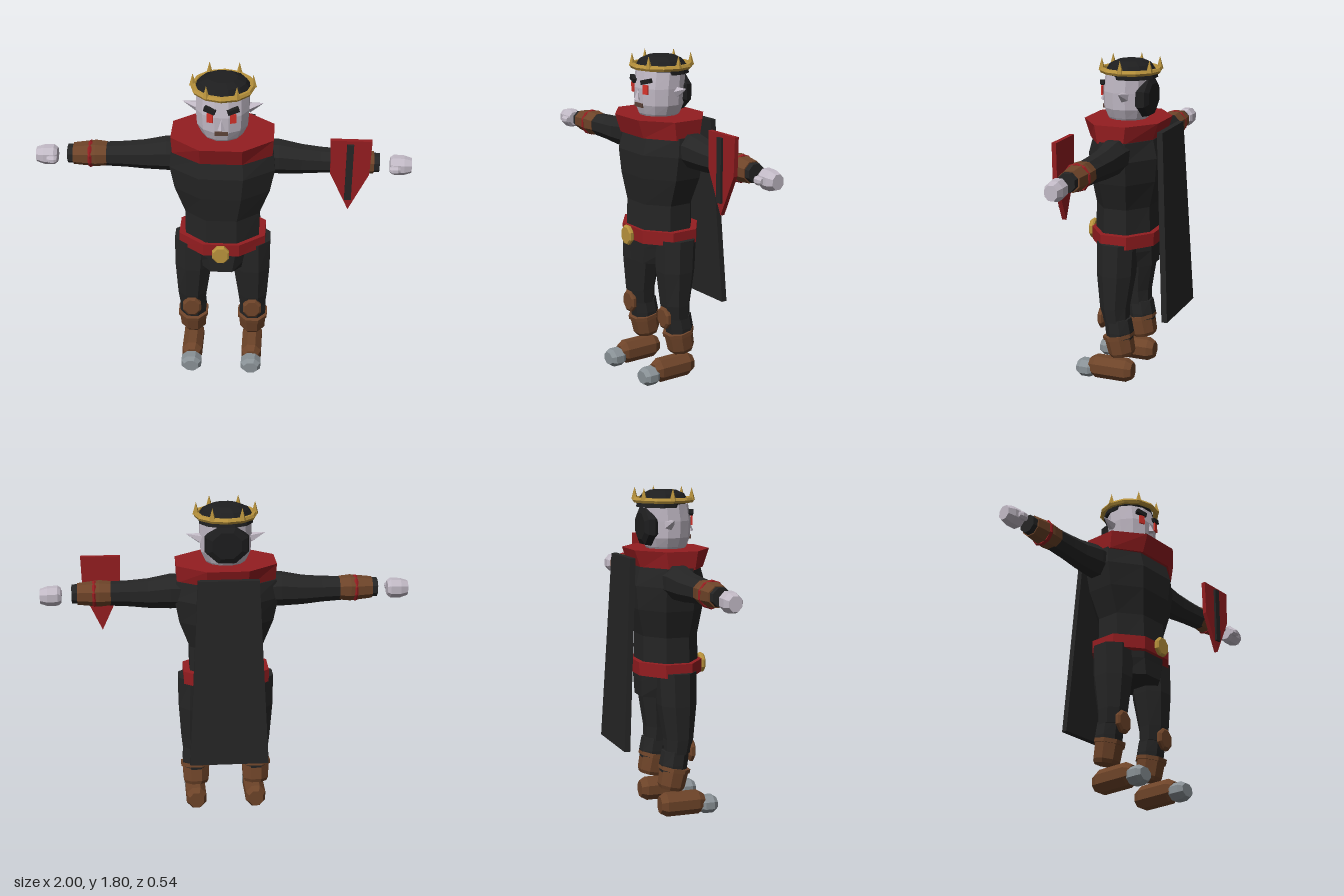
import * as THREE from 'three';

const mat = (name, color) => Object.assign(new THREE.MeshStandardMaterial({ color }), { name });

// Closed faceted body through elliptical rings [y, cx, cz, rx, rz]; radii reach the flat sides.
function loft(rings, n = 8) {
  const pos = [], k = 1 / Math.cos(Math.PI / n);
  const at = ([y, cx, cz, rx, rz], i) => {
    const a = ((i + 0.5) / n) * Math.PI * 2;
    return [cx + Math.sin(a) * rx * k, y, cz + Math.cos(a) * rz * k];
  };
  const lo = rings[0], hi = rings[rings.length - 1];
  for (let i = 0; i < n; i++) {
    for (let j = 0; j < rings.length - 1; j++) {
      const a = at(rings[j], i), b = at(rings[j], i + 1), c = at(rings[j + 1], i + 1), d = at(rings[j + 1], i);
      pos.push(...a, ...b, ...c, ...a, ...c, ...d);
    }
    pos.push(lo[1], lo[0], lo[2], ...at(lo, i + 1), ...at(lo, i));
    pos.push(hi[1], hi[0], hi[2], ...at(hi, i), ...at(hi, i + 1));
  }
  const g = new THREE.BufferGeometry();
  g.setAttribute('position', new THREE.Float32BufferAttribute(pos, 3));
  g.computeVertexNormals();
  return g;
}

// Faceted copy of a built-in geometry
function facet(g) {
  const f = g.index ? g.toNonIndexed() : g;
  f.computeVertexNormals();
  return f;
}

export function createModel() {
  const root = new THREE.Group();
  root.name = 'caped ruler';
  const cloth = mat('black cloth', 0x252525), red = mat('dark red', 0x941d20);
  const skin = mat('pale skin', 0xc2bac6), hair = mat('black hair', 0x1e1e1f);
  const leather = mat('brown leather', 0x6e4429), gold = mat('gold', 0xb8923c);
  const steel = mat('steel', 0x899196), eyeRed = mat('eye red', 0xd8332b), lip = mat('lip brown', 0x5c4238);

  const add = (name, geo, material, p = [0, 0, 0], r = [0, 0, 0], parent = root) => {
    const m = new THREE.Mesh(geo, material);
    m.name = name;
    m.position.set(...p);
    m.rotation.set(...r);
    parent.add(m);
    return m;
  };
  const box = (x, y, z) => new THREE.BoxGeometry(x, y, z);

  // Torso, pelvis, collar and belt
  add('torso', loft([
    [0.80, 0, 0.04, 0.2, 0.16], [1.0, 0, 0.038, 0.2, 0.155], [1.15, 0, 0.03, 0.255, 0.185],
    [1.28, 0, 0.027, 0.28, 0.197], [1.38, 0, 0.025, 0.27, 0.172]]), cloth);
  add('pelvis', loft([[0.66, 0, 0.033, 0.14, 0.155], [0.75, 0, 0.033, 0.175, 0.158], [0.82, 0, 0.035, 0.19, 0.16]]), cloth);
  add('collar', loft([[1.37, 0, 0.037, 0.265, 0.178], [1.47, 0, 0.037, 0.27, 0.212]]), red);
  add('belt', loft([[0.787, 0, 0.034, 0.235, 0.18], [0.86, 0, 0.034, 0.235, 0.182]]), red);
  add('buckle', loft([
    [-0.015, 0, 0, 0.038, 0.045], [-0.007, 0, 0, 0.046, 0.052],
    [0.007, 0, 0, 0.046, 0.052], [0.015, 0, 0, 0.038, 0.045]]), gold, [0, 0.82, 0.248], [Math.PI / 2, 0, 0]);

  // Cape: tapered slab leaning backwards
  const cape = box(1, 1.035, 0.032), cp = cape.attributes.position;
  for (let i = 0; i < cp.count; i++) {
    const top = cp.getY(i) > 0;
    cp.setX(i, Math.sign(cp.getX(i)) * (top ? 0.162 : 0.215));
    cp.setZ(i, cp.getZ(i) + (top ? -0.203 : -0.255));
  }
  add('cape', facet(cape), cloth, [0, 0.915, 0]);

  // Head and hair
  add('head', loft([
    [1.44, 0, 0.04, 0.085, 0.085], [1.48, 0, 0.04, 0.11, 0.11], [1.53, 0, 0.04, 0.133, 0.127],
    [1.62, 0, 0.04, 0.139, 0.131], [1.71, 0, 0.03, 0.136, 0.125]], 12), skin);
  add('hair cap', loft([
    [1.692, 0, 0.01, 0.142, 0.128], [1.73, 0, 0.022, 0.143, 0.13],
    [1.762, 0, 0.024, 0.12, 0.11], [1.782, 0, 0.024, 0.075, 0.07]], 12), hair);
  add('back hair', loft([
    [0.03, 0, 0, 0.1, 0.08], [0.06, 0, 0, 0.118, 0.105],
    [0.095, 0, 0, 0.11, 0.098], [0.11, 0, 0, 0.078, 0.07]]), hair, [0, 1.59, 0], [-Math.PI / 2, 0, 0]);

  // Face
  add('nose', facet(new THREE.ConeGeometry(0.019, 0.06, 4)), skin, [0, 1.585, 0.178], [-0.15, 0, 0]);
  add('mouth', box(0.07, 0.022, 0.009), lip, [0, 1.528, 0.169]);
  for (const s of [-1, 1]) {
    add('eye', box(0.032, 0.05, 0.009), eyeRed, [s * 0.06, 1.617, 0.167], [0, s * 0.3, 0]);
    add('brow', box(0.062, 0.024, 0.025), hair, [s * 0.06, 1.66, 0.162], [0, s * 0.3, s * 0.25]);
    add('ear', facet(new THREE.ConeGeometry(0.03, 0.085, 5)), skin, [s * 0.172, 1.615, 0.012], [0, 0, -s * 1.25]);
  }

  // Crown with six spikes
  const crown = new THREE.Group();
  crown.name = 'crown';
  crown.position.set(0, 1.73, 0.024);
  root.add(crown);
  add('crown band', facet(new THREE.TorusGeometry(0.155, 0.016, 6, 12)), gold, [0, 0, 0], [Math.PI / 2, 0, 0], crown);
  for (let i = 0; i < 6; i++) {
    const a = (i * Math.PI) / 3;
    add('crown spike', facet(new THREE.ConeGeometry(0.019, 0.068, 5)), gold,
      [Math.cos(a) * 0.157, 0.034, Math.sin(a) * 0.157], [0, 0, 0], crown);
  }

  for (const s of [-1, 1]) {
    // Arm, laid out along local y and turned outwards; ring = [distance, height offset, z, ry, rz]
    const arm = new THREE.Group();
    arm.name = s > 0 ? 'leftArm' : 'rightArm';
    arm.position.y = 1.3;
    arm.rotation.z = -s * Math.PI / 2;
    root.add(arm);
    const limb = (name, rings, m) =>
      add(name, loft(rings.map(([d, h, z, ry, rz]) => [d, -s * h, z, ry, rz])), m, [0, 0, 0], [0, 0, 0], arm);
    limb('upper arm', [
      [0.2, 0.01, 0.01, 0.085, 0.08], [0.3, 0.01, 0.013, 0.088, 0.078], [0.42, 0, 0.016, 0.075, 0.065],
      [0.52, 0, 0.02, 0.066, 0.06], [0.64, 0, 0.025, 0.06, 0.058]], cloth);
    limb('bracer', [[0.62, 0.002, 0.024, 0.06, 0.062], [0.68, 0.002, 0.025, 0.066, 0.068], [0.8, 0, 0.03, 0.054, 0.056]], leather);
    limb('sleeve end', [[0.78, 0, 0.03, 0.05, 0.05], [0.83, 0, 0.032, 0.047, 0.047]], cloth);
    add('bracer band', facet(new THREE.TorusGeometry(0.063, 0.012, 6, 10)), red, [0, 0.708, 0.027], [Math.PI / 2, 0, 0], arm);
    limb('hand', [
      [0.887, -0.008, 0.034, 0.038, 0.036], [0.905, -0.008, 0.034, 0.051, 0.047],
      [0.96, -0.01, 0.034, 0.05, 0.046], [1.0, -0.01, 0.034, 0.038, 0.034]], skin);
    limb('thumb', [
      [0.885, -0.012, 0.082, 0.014, 0.012], [0.9, -0.012, 0.084, 0.022, 0.019],
      [0.925, -0.012, 0.084, 0.022, 0.019], [0.94, -0.012, 0.082, 0.014, 0.012]], skin);

    // Leg
    const leg = new THREE.Group();
    leg.name = s > 0 ? 'leftLeg' : 'rightLeg';
    leg.position.x = s * 0.17;
    root.add(leg);
    const part = (name, rings, m, p, r) => add(name, loft(rings), m, p, r, leg);
    part('thigh', [
      [0.36, 0, 0.045, 0.071, 0.068], [0.44, 0, 0.052, 0.08, 0.076], [0.63, -s * 0.008, 0.045, 0.1, 0.1],
      [0.81, -s * 0.015, 0.04, 0.108, 0.105]], cloth);
    part('calf', [[0.23, 0, 0.02, 0.068, 0.066], [0.3, 0, 0.024, 0.074, 0.072], [0.375, 0, 0.036, 0.07, 0.07]], cloth);
    part('knee pad', [
      [-0.017, 0, 0, 0.04, 0.047], [-0.008, 0, 0, 0.051, 0.06],
      [0.008, 0, 0, 0.051, 0.06], [0.017, 0, 0, 0.04, 0.047]], leather, [0, 0.368, 0.123], [Math.PI / 2, 0, 0]);
    part('boot shaft', [[-0.055, 0, 0, 0.06, 0.06], [-0.035, 0, 0, 0.07, 0.07], [0.06, 0, 0, 0.076, 0.074]],
      leather, [0, 0.212, 0.018], [0.2, 0, 0]);
    part('boot cuff', [[-0.011, 0, 0, 0.083, 0.081], [0.011, 0, 0, 0.083, 0.081]], leather, [0, 0.27, 0.03], [0.2, 0, 0]);

    // Foot and steel toe, running forward along z
    part('foot', [
      [-0.055, 0, 0, 0.04, 0.045], [-0.02, 0, 0, 0.056, 0.063],
      [0.165, 0, 0, 0.056, 0.063], [0.2, 0, 0, 0.04, 0.042]], leather, [0, 0.068, 0], [Math.PI / 2, 0, 0]);
    part('toe cap', [
      [0.182, 0, 0, 0.044, 0.04], [0.2, 0, 0, 0.056, 0.048],
      [0.25, 0, 0, 0.056, 0.048], [0.274, 0, 0, 0.04, 0.034]], steel, [0, 0.05, 0], [Math.PI / 2, 0, 0]);
  }

  // Shield on the left forearm
  const outline = new THREE.Shape([[-0.108, 0.2], [-0.102, 0], [0, -0.22], [0.102, 0], [0.108, 0.2]]
    .map(([x, y]) => new THREE.Vector2(x, y)));
  add('shield', new THREE.ExtrudeGeometry(outline, { depth: 0.024, bevelEnabled: false }), red, [0.672, 1.283, 0.106]);
  add('shield bar', box(0.036, 0.335, 0.014), cloth, [0.668, 1.297, 0.136]);

  return root;
}
